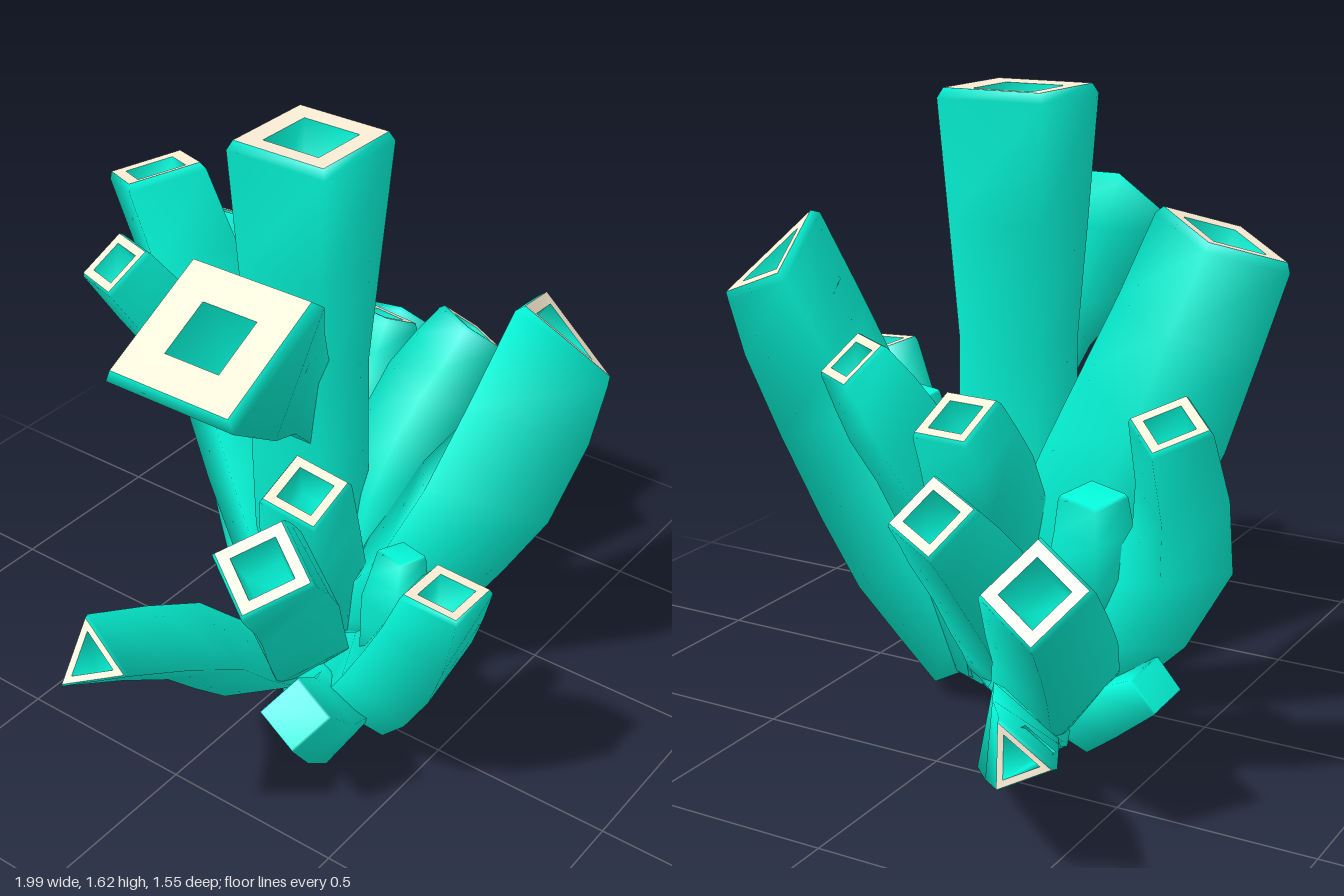
import * as THREE from 'three';

const teal = new THREE.MeshStandardMaterial({ color: 0x04fadb });
const sand = new THREE.MeshStandardMaterial({ color: 0xfbeed6 });
const vec = (x, y, z) => new THREE.Vector3(x, y, z);

// One faceted ring around a centre, turned by roll degrees about its axis
function ring(center, axis, radius, { sides, roll, flat }) {
  const u = vec(0, 0, 1).projectOnPlane(axis).normalize();
  const v = vec(0, 0, 0).crossVectors(axis, u).multiplyScalar(flat);
  return Array.from({ length: sides }, (_, i) => {
    const a = THREE.MathUtils.degToRad(roll + i * 360 / sides);
    return center.clone()
      .addScaledVector(u, Math.cos(a) * radius)
      .addScaledVector(v, Math.sin(a) * radius);
  });
}

// Skin a list of rings, optionally closing the first or last one
function skin(name, rings, material, closeStart, closeEnd) {
  const n = rings[0].length;
  const index = [];
  for (let j = 0; j < rings.length - 1; j++) {
    for (let i = 0; i < n; i++) {
      const a = j * n + i, b = j * n + (i + 1) % n;
      index.push(a, b, b + n, a, b + n, a + n);
    }
  }
  const last = (rings.length - 1) * n;
  for (let i = 1; i < n - 1; i++) {
    if (closeStart) index.push(0, i + 1, i);
    if (closeEnd) index.push(last, last + i, last + i + 1);
  }
  const geometry = new THREE.BufferGeometry().setFromPoints(rings.flat());
  geometry.setIndex(index);
  geometry.computeVertexNormals();
  const mesh = new THREE.Mesh(geometry, material);
  mesh.name = name;
  return mesh;
}

// Branches start beside the common foot, shifted toward their tip
function footToward(tip) {
  const shift = vec(tip.x, 0, tip.z).normalize().multiplyScalar(0.09);
  return vec(0.1, 0.13, 0).add(shift);
}

// A tube through the bends to the tip, swollen at the bends, with a rim and a hollow mouth
function branch(name, bends, tip, radius, roll, {
  root = footToward(tip), swell = radius + 0.025, sides = 4, flat = 1, face, hole = 0.62, open = true,
} = {}) {
  const curve = new THREE.CatmullRomCurve3([root, ...bends, tip]);
  const radii = [swell * 0.7, ...bends.map(() => swell), radius];
  const section = { sides, roll, flat };
  const axis = face ? face.clone().normalize() : curve.getTangent(1);
  const steps = (bends.length + 1) * 2;
  const rings = [];
  for (let i = 0; i <= steps; i++) {
    const knot = Math.floor(i / 2);
    const r = i % 2 ? (radii[knot] + radii[knot + 1]) / 2 : radii[knot];
    rings.push(ring(curve.getPoint(i / steps), i === steps ? axis : curve.getTangent(i / steps), r, section));
  }
  const mouthRing = (offset, scale) =>
    ring(tip.clone().addScaledVector(axis, radius * offset), axis, radius * scale, section);
  const lip = mouthRing(0.12, 0.92);
  rings.push(lip);

  const group = new THREE.Group();
  group.name = name;
  group.add(skin('tube', rings, teal, true, !open));
  if (open) {
    const mouth = mouthRing(0.1, hole);
    group.add(skin('rim', [lip, mouth], sand, false, false));
    group.add(skin('hollow', [mouth, mouthRing(-0.8, hole * 0.85)], teal, false, true));
  }
  return group;
}

export function createModel() {
  const coral = new THREE.Group();
  coral.name = 'coral';
  const add = (...spec) => coral.add(branch(...spec));
  const bud = { open: false };

  // Centre
  add('trunk', [vec(0.1, 0.5, 0), vec(0.08, 1, 0)], vec(0.08, 1.6, 0), 0.205, 45,
    { root: vec(0.12, 0.1, 0.02), swell: 0.155, hole: 0.57 });
  add('flaredBranch', [vec(-0.06, 1, 0.01)], vec(-0.36, 1.27, 0.05), 0.27, 45,
    { root: vec(0.08, 0.83, 0), swell: 0.14, hole: 0.42, face: vec(-0.46, 0.89, 0) });

  // Front
  add('frontBranch', [vec(0.16, 0.4, 0.24), vec(0.18, 0.77, 0.46)], vec(0.33, 1.17, 0.56), 0.19, 20,
    { sides: 3, swell: 0.21, hole: 0.6, face: vec(0.45, 0.72, 0.48) });
  add('frontLeftBranch', [vec(0.27, 0.55, 0.1), vec(0.41, 0.82, 0.16)], vec(0.48, 0.99, 0.23), 0.1, 20,
    { swell: 0.13, face: vec(0.55, 0.75, 0.3) });
  add('frontRightBranch', [vec(-0.12, 0.24, 0.35), vec(-0.24, 0.55, 0.57)], vec(-0.32, 0.81, 0.69), 0.11, 45,
    { swell: 0.14, face: vec(0, 1, 0.05) });
  add('frontBud', [vec(-0.18, 0.6, 0.46)], vec(-0.16, 0.73, 0.46), 0.06, 30,
    { ...bud, root: vec(-0.14, 0.36, 0.4) });

  // Right side
  add('rightFarBranch', [vec(-0.25, 0.24, 0.08), vec(-0.5, 0.48, 0.11)], vec(-0.95, 0.78, 0.17), 0.1, 0,
    { sides: 3, swell: 0.12 });
  add('rightMiddleBranch', [vec(-0.2, 0.38, 0.17), vec(-0.43, 0.72, 0.3)], vec(-0.59, 0.9, 0.37), 0.13, 10,
    { swell: 0.145, face: vec(-0.5, 0.82, 0.15) });
  add('rightInnerBranch', [vec(-0.1, 0.5, 0.15)], vec(-0.23, 0.85, 0.22), 0.115, 45);
  add('rightLowBud', [vec(-0.25, 0.19, 0.3)], vec(-0.48, 0.4, 0.38), 0.09, 20, { ...bud, swell: 0.125 });

  // Left side
  add('leftUpperBranch', [vec(0.28, 0.5, -0.06), vec(0.45, 0.75, -0.1)], vec(0.53, 0.9, -0.09), 0.11, 40);
  add('leftMiddleBranch', [vec(0.4, 0.34, -0.14), vec(0.65, 0.62, -0.18)], vec(0.78, 0.75, -0.18), 0.11, 20);
  add('leftOuterBranch', [vec(0.38, 0.22, -0.26), vec(0.64, 0.46, -0.4)], vec(0.87, 0.66, -0.49), 0.13, 15,
    { swell: 0.15, face: vec(0.75, 0.62, -0.1) });
  add('leftLowBranch', [vec(0.3, 0.1, -0.14), vec(0.53, 0.14, -0.26), vec(0.76, 0.28, -0.36)],
    vec(0.97, 0.33, -0.5), 0.095, 180, { sides: 3, swell: 0.11, face: vec(1, 0.05, 0) });
  add('leftBud', [vec(0.46, 0.58, -0.41)], vec(0.48, 0.75, -0.42), 0.08, 30,
    { ...bud, root: vec(0.34, 0.3, -0.28) });

  // Back
  add('backTallBranch', [vec(0.19, 0.5, -0.24), vec(0.24, 0.9, -0.45)], vec(0.2, 1.31, -0.6), 0.175, 5,
    { swell: 0.2, flat: 0.75, face: vec(-0.05, 0.95, -0.33) });
  add('backRightBranch', [vec(0.02, 0.97, -0.35)], vec(-0.16, 1.24, -0.43), 0.105, 30,
    { root: vec(0.21, 0.78, -0.35) });
  add('backLeftBranch', [vec(0.32, 0.28, -0.34), vec(0.47, 0.66, -0.64)], vec(0.63, 0.99, -0.68), 0.1, 0,
    { face: vec(0.45, 0.88, 0) });
  add('backLowBud', [vec(0.29, 0.14, -0.3)], vec(0.43, 0.3, -0.56), 0.07, 20, { ...bud, swell: 0.12 });
  return coral;
}
